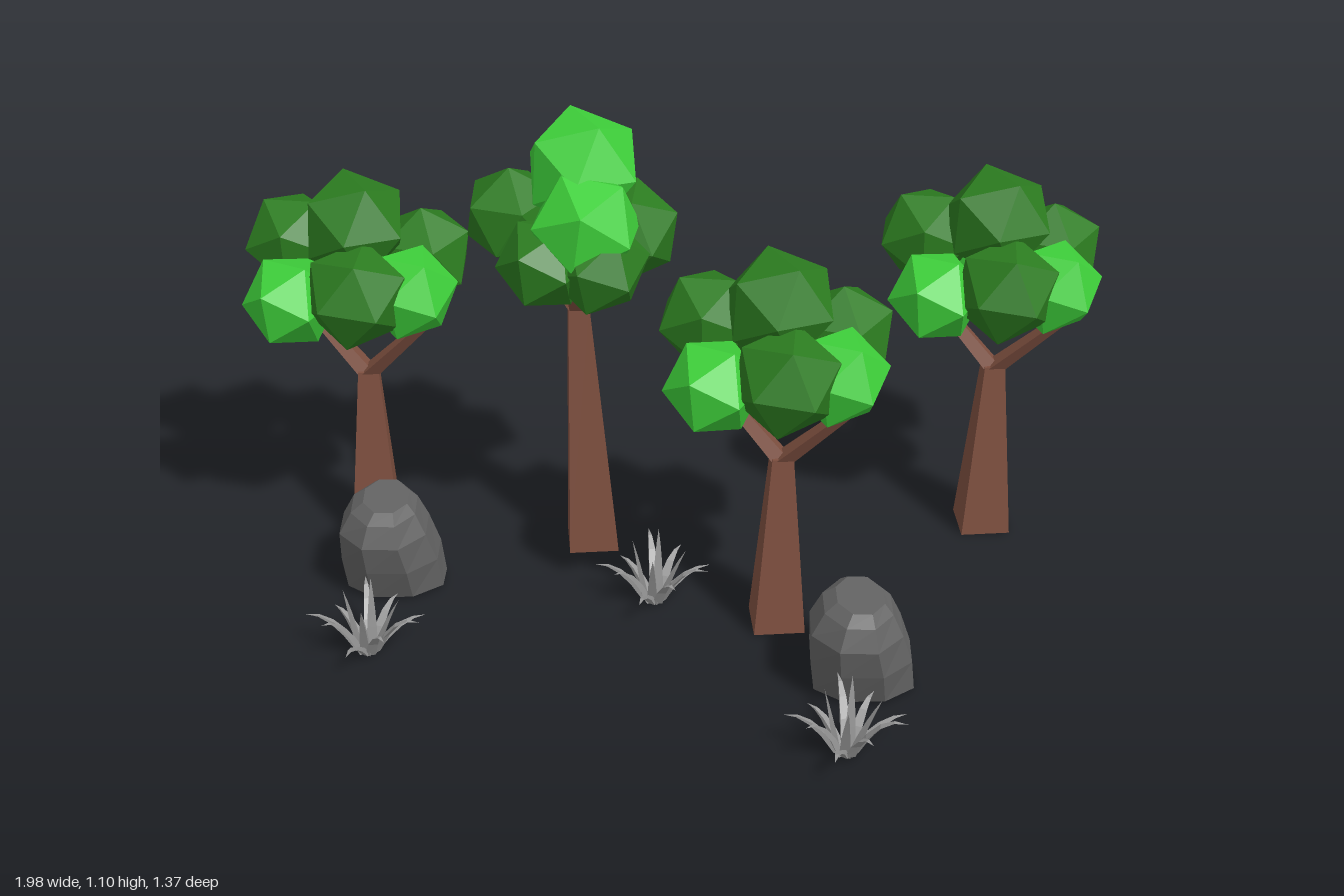
import * as THREE from 'three';

const mat = (name, color) => {
  const m = new THREE.MeshStandardMaterial({ color });
  m.name = name;
  return m;
};

// Split faces so every facet is flat
const facet = (geo) => {
  const g = geo.index ? geo.toNonIndexed() : geo;
  g.computeVertexNormals();
  return g;
};

export function createModel() {
  const bark = mat('bark brown', 0x7f5040);
  const leafDark = mat('dark leaf green', 0x2c7c20);
  const leafBright = mat('bright leaf green', 0x3ecf3a);
  const stone = mat('stone grey', 0x646464);
  const grass = mat('pale grass grey', 0x9a9a9a);
  const model = new THREE.Group();
  model.name = 'grove';

  const add = (parent, name, geo, material) => {
    const mesh = new THREE.Mesh(facet(geo), material);
    mesh.name = name;
    parent.add(mesh);
    return mesh;
  };

  const group = (name, x, z, turn = 0) => {
    const g = new THREE.Group();
    g.name = name;
    g.position.set(x, 0, z);
    g.rotation.y = turn;
    model.add(g);
    return g;
  };

  // Square tapered post, sheared so that its ends stay level
  const post = (parent, name, from, to, halfA, halfB) => {
    const geo = new THREE.CylinderGeometry(halfB * Math.SQRT2, halfA * Math.SQRT2, 1, 4, 1);
    geo.rotateY(Math.PI / 4);
    const p = geo.attributes.position;
    for (let i = 0; i < p.count; i++) {
      const t = p.getY(i) + 0.5;
      p.setXYZ(i,
        p.getX(i) + from[0] + (to[0] - from[0]) * t,
        from[1] + (to[1] - from[1]) * t,
        p.getZ(i) + from[2] + (to[2] - from[2]) * t);
    }
    add(parent, name, geo, bark);
  };

  // Trees: leaf clumps are [x, y, z, radius, bright]
  const tree = (name, x, z, fork, branches, clumps) => {
    const g = group(name, x, z);
    post(g, 'trunk', [0, 0, 0], fork, 0.058, 0.024);
    branches.forEach((end) => {
      const start = [fork[0], fork[1] - 0.012, fork[2]];
      post(g, 'branch', start, end, 0.021, 0.013);
    });
    clumps.forEach(([cx, cy, cz, r, bright], i) => {
      const ball = add(g, 'leafClump', new THREE.IcosahedronGeometry(r, 0), bright ? leafBright : leafDark);
      ball.position.set(cx, cy, cz);
      ball.rotation.set(0.5 + i * 1.3, i * 0.9, 0.3 + i * 0.7);
    });
  };

  const roundFork = [0.005, 0.44, 0];
  const roundBranches = [[-0.155, 0.62, -0.06], [0.165, 0.62, 0.095]];
  const roundClumps = [
    [-0.005, 0.81, -0.005, 0.13, 0],
    [-0.01, 0.68, -0.165, 0.11, 1],
    [-0.15, 0.735, -0.10, 0.118, 0],
    [0.15, 0.69, -0.095, 0.118, 0],
    [-0.155, 0.665, 0.08, 0.112, 1],
    [-0.005, 0.70, 0.135, 0.125, 0],
    [0.115, 0.68, 0.09, 0.112, 1],
  ];
  [['rightTree', -0.733, -0.43], ['centreTree', 0.187, 0.05], ['leftTree', 0.732, -0.33]]
    .forEach(([name, x, z]) => tree(name, x, z, roundFork, roundBranches, roundClumps));

  tree('tallTree', -0.214, -0.33, [-0.022, 0.64, 0],
    [[-0.13, 0.80, 0.0], [0.09, 0.80, 0.02], [-0.05, 0.80, 0.13], [-0.02, 0.80, -0.11]],
    [
      [-0.006, 0.985, 0.01, 0.14, 1],
      [-0.006, 0.895, 0.125, 0.13, 1],
      [-0.026, 0.835, -0.13, 0.112, 1],
      [-0.165, 0.86, -0.025, 0.118, 0],
      [-0.10, 0.81, 0.13, 0.11, 0],
      [0.095, 0.83, 0.02, 0.12, 0],
      [0.02, 0.81, 0.15, 0.115, 0],
    ]);

  // Boulders: rows of y, min x, max x, min z, max z
  const rows = [
    [0.235, -0.065, 0.045, -0.085, 0.075],
    [0.215, -0.095, 0.065, -0.11, 0.105],
    [0.165, -0.125, 0.09, -0.122, 0.125],
    [0.09, -0.125, 0.115, -0.12, 0.11],
    [0.008, -0.115, 0.125, -0.10, 0.08],
  ];
  [[-0.685, -0.18], [0.345, 0.32]].forEach(([x, z]) => {
    const geo = new THREE.CylinderGeometry(1, 1, 1, 8, 4);
    geo.rotateY(0.3);
    const p = geo.attributes.position;
    for (let i = 0; i < p.count; i++) {
      const [y, x0, x1, z0, z1] = rows[Math.round((0.5 - p.getY(i)) * 4)];
      p.setXYZ(i,
        (x0 + x1) / 2 + p.getX(i) * (x1 - x0) / 2,
        y,
        (z0 + z1) / 2 + p.getZ(i) * (z1 - z0) / 2);
    }
    add(group('boulder', x, z), 'stone', geo, stone);
  });

  // Grass blade: thin spike that arches outward along +x
  const blade = (reach, height, droop) => {
    const geo = new THREE.ConeGeometry(0.016, 1, 3, 4);
    const p = geo.attributes.position;
    for (let i = 0; i < p.count; i++) {
      const t = p.getY(i) + 0.5;
      p.setXYZ(i,
        0.018 + reach * t + p.getX(i) * 0.6,
        height * (t * (1 + droop) - droop * t * t) + p.getX(i) * -0.5 * t,
        p.getZ(i) * (1 + 0.6 * t));
    }
    return geo;
  };
  [[-0.743, 0.09], [-0.086, -0.06], [0.278, 0.555]].forEach(([x, z]) => {
    const g = group('grassTuft', x, z);
    for (let i = 0; i < 9; i++) {
      const outer = add(g, 'outerBlade', blade(i % 2 ? 0.095 : 0.118, 0.07 + 0.02 * (i % 3), 1.2), grass);
      outer.rotation.y = (i / 9) * Math.PI * 2 + 0.2;
    }
    for (let i = 0; i < 4; i++) {
      const inner = add(g, 'innerBlade', blade(0.02 + 0.012 * i, 0.17 - 0.014 * i, 0.2), grass);
      inner.rotation.y = i * 1.7 + 1.2;
    }
  });

  return model;
}
